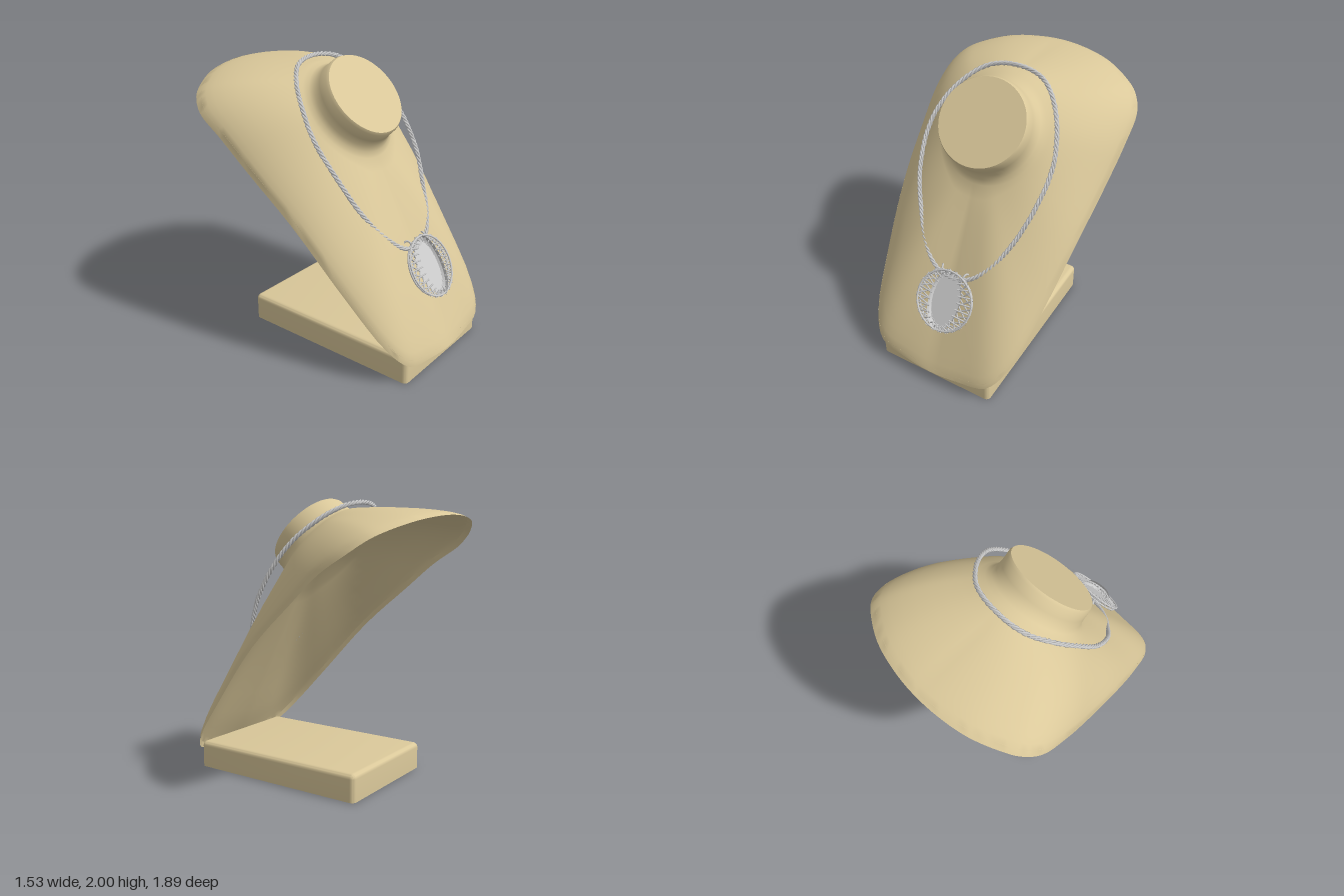
import * as THREE from 'three';
import { toCreasedNormals } from 'three/addons/utils/BufferGeometryUtils.js';
import { RoundedBoxGeometry } from 'three/addons/geometries/RoundedBoxGeometry.js';

const V = (x, y, z) => new THREE.Vector3(x, y, z);
const tan = new THREE.MeshStandardMaterial({ color: 0xdac89a, side: THREE.DoubleSide });
const grey = new THREE.MeshStandardMaterial({ color: 0xcccccc });

function add(parent, name, geometry, material) {
  const mesh = new THREE.Mesh(geometry, material);
  mesh.name = name;
  parent.add(mesh);
  return mesh;
}

// Frame of the slanted bust: D points out of the chest, U runs up the slope
const D = V(0, 0.655, 0.755), U = V(0, 0.755, -0.655);

// Mirrors a half loop (first and last points on the centre line) into a closed curve
function mirroredLoop(half) {
  const pts = half.map(p => V(...p));
  const other = pts.slice(1, -1).reverse().map(p => V(-p.x, p.y, p.z));
  return new THREE.CatmullRomCurve3([...pts, ...other], true, 'centripetal');
}

// Display bust: closed shell lofted from the neck disc out to the rim and back inside
function bustGeometry() {
  const rim = mirroredLoop([
    [0, 0.09, 0.945], [0.22, 0.105, 0.935], [0.44, 0.14, 0.905], [0.55, 0.27, 0.8],
    [0.64, 0.61, 0.51], [0.71, 1.02, 0.15], [0.75, 1.33, -0.2], [0.765, 1.52, -0.42],
    [0.75, 1.65, -0.62], [0.68, 1.735, -0.73], [0.58, 1.785, -0.8], [0.4, 1.84, -0.885],
    [0.2, 1.87, -0.93], [0, 1.88, -0.945],
  ]).getPoints(104).slice(0, -1);
  const neckTop = V(0, 1.77, 0.2);
  const base = neckTop.clone().addScaledVector(D, -0.2);
  const angles = rim.map(p => {
    const r = p.clone().sub(base);
    return Math.atan2(r.x, -r.dot(U));
  });
  const ring = (depth, rx, ru) => angles.map(a => neckTop.clone()
    .addScaledVector(D, -depth).addScaledVector(U, -Math.cos(a) * ru)
    .add(V(Math.sin(a) * rx, 0, 0)));
  const collar = ring(0.2, 0.37, 0.388);
  // s = 0 at the rim, 1 at the collar, bulging most at the shoulders
  const body = s => rim.map((p, i) => {
    const amount = 0.03 + 0.15 * Math.abs(p.x) / 0.76 + 0.07 * Math.max(0, -p.z);
    return p.clone().lerp(collar[i], s).addScaledVector(D, amount * Math.sqrt(s) * (1 - s));
  });
  const steps = [1, 0.93, 0.85, 0.75, 0.62, 0.48, 0.34, 0.22, 0.12, 0.06, 0.02, 0];
  const inner = s => body(Math.max(s, 0.025)).map(p => p.addScaledVector(D, -0.028 * Math.min(1, s * 6)));
  const rows = [
    ring(0, 0, 0), ring(0, 0.312, 0.302), ring(0.02, 0.322, 0.313), ring(0.09, 0.322, 0.316),
    ring(0.14, 0.328, 0.328), ring(0.175, 0.342, 0.352),
    ...steps.map(body), ...steps.slice().reverse().map(inner), ring(0.228, 0, 0),
  ];
  const n = rim.length, index = [];
  for (let j = 0; j < rows.length - 1; j++) {
    for (let i = 0; i < n; i++) {
      const k = (i + 1) % n, a = j * n, b = a + n;
      if (j < rows.length - 2) index.push(a + i, b + i, b + k);
      else index.push(a + i, b + i, a + k);
      if (j > 0 && j < rows.length - 2) index.push(a + i, b + k, a + k);
    }
  }
  const g = new THREE.BufferGeometry().setFromPoints(rows.flat());
  g.setIndex(index);
  return toCreasedNormals(g, 0.75);
}

// Foot block: rounded box with its underside flattened
function footGeometry() {
  const g = new RoundedBoxGeometry(0.91, 0.245, 1.375, 4, 0.035);
  g.translate(0, 0.0725, 0.2025);
  const p = g.attributes.position;
  for (let i = 0; i < p.count; i++) p.setY(i, Math.max(0, p.getY(i)));
  return toCreasedNormals(g, 0.6);
}

// One strand winding round a path
class Strand extends THREE.Curve {
  constructor(path, radius, turns, phase) {
    super();
    Object.assign(this, { path, radius, turns, phase });
  }
  getPoint(t, target = V(0, 0, 0)) {
    const u = t % 1, a = t * this.turns * Math.PI * 2 + this.phase;
    const tangent = this.path.getTangentAt(u);
    const side = tangent.clone().cross(D).normalize();
    const up = side.clone().cross(tangent);
    return target.copy(this.path.getPointAt(u))
      .addScaledVector(side, Math.cos(a) * this.radius)
      .addScaledVector(up, Math.sin(a) * this.radius);
  }
}

function chain() {
  const group = new THREE.Group();
  group.name = 'ropeChain';
  const path = mirroredLoop([
    [0, 1.97, -0.268], [0.2, 1.94, -0.235], [0.34, 1.85, -0.13], [0.44, 1.71, 0.01],
    [0.483, 1.54, 0.14], [0.45, 1.3, 0.31], [0.355, 1.05, 0.45], [0.25, 0.89, 0.555],
    [0.13, 0.79, 0.62], [0, 0.765, 0.64],
  ]);
  for (let k = 0; k < 3; k++) {
    const strand = new Strand(path, 0.0085, 36, k * Math.PI * 2 / 3);
    add(group, 'chainStrand', new THREE.TubeGeometry(strand, 540, 0.0085, 5, true), grey);
  }
  group.position.x = 0.01;
  return group;
}

// Oval slab: stacked ellipses given as [halfWidth, halfHeight, z]
function ovalGeometry(layers, sides = 32) {
  const pts = [], index = [];
  const all = [[0, 0, layers[0][2]], ...layers, [0, 0, layers.at(-1)[2]]];
  all.forEach(([rx, ry, z], j) => {
    for (let i = 0; i < sides; i++) {
      const a = i / sides * Math.PI * 2, k = (i + 1) % sides, r = j * sides, q = r + sides;
      pts.push(V(Math.cos(a) * rx, Math.sin(a) * ry, z));
      if (j < all.length - 1) index.push(r + i, q + k, q + i, r + i, r + k, q + k);
    }
  });
  // layers run from back to front, so corners are reversed to face outward
  for (let i = 0; i < index.length; i += 3) [index[i + 1], index[i + 2]] = [index[i + 2], index[i + 1]];
  const g = new THREE.BufferGeometry().setFromPoints(pts);
  g.setIndex(index);
  return toCreasedNormals(g, 0.4);
}

function pendant() {
  const group = new THREE.Group();
  group.name = 'pendant';
  const wire = (a, b) => add(group, 'filigreeWire',
    new THREE.TubeGeometry(new THREE.LineCurve3(a, b), 1, 0.0055, 5), grey);
  const polar = (i, rx, ry, z) => {
    const a = i / 24 * Math.PI * 2;
    return V(Math.cos(a) * rx, Math.sin(a) * ry, z);
  };
  // Crossing wires from the oval setting to the round border
  for (let i = 0; i < 24; i++) {
    for (const skew of [-1.4, 1.4]) {
      wire(polar(i, 0.1, 0.185, -0.025), polar(i + skew, 0.222, 0.226, 0.005));
    }
    wire(polar(i + 0.5, 0.1, 0.185, 0.012), polar(i + 0.5, 0.215, 0.22, -0.01));
  }
  // Border rings
  for (const [r, z] of [[0.213, 0.006], [0.205, -0.018]]) {
    add(group, 'borderRing', new THREE.TorusGeometry(r, 0.007, 6, 48), grey).position.z = z;
  }
  add(group, 'backPlate', ovalGeometry([[0.085, 0.15, -0.045], [0.1, 0.17, -0.04], [0.1, 0.17, -0.02]]), grey);
  add(group, 'stone', ovalGeometry([
    [0.105, 0.2, -0.02], [0.115, 0.214, -0.005], [0.115, 0.214, 0.018], [0.083, 0.15, 0.042],
  ]), grey);
  // Loops that hold the chain
  for (const x of [-0.1, 0.1]) {
    const loop = add(group, 'hangingLoop', new THREE.TorusGeometry(0.026, 0.007, 6, 16), grey);
    loop.position.set(x, 0.2, -0.035);
    loop.rotation.y = Math.PI / 3 * Math.sign(x);
  }
  group.position.set(0.025, 0.645, 0.75);
  group.rotation.x = -0.546;
  return group;
}

export function createModel() {
  const model = new THREE.Group();
  model.name = 'necklaceDisplay';
  add(model, 'bust', bustGeometry(), tan);
  add(model, 'foot', footGeometry(), tan);
  const necklace = new THREE.Group();
  necklace.name = 'necklace';
  necklace.add(chain(), pendant());
  model.add(necklace);
  return model;
}
